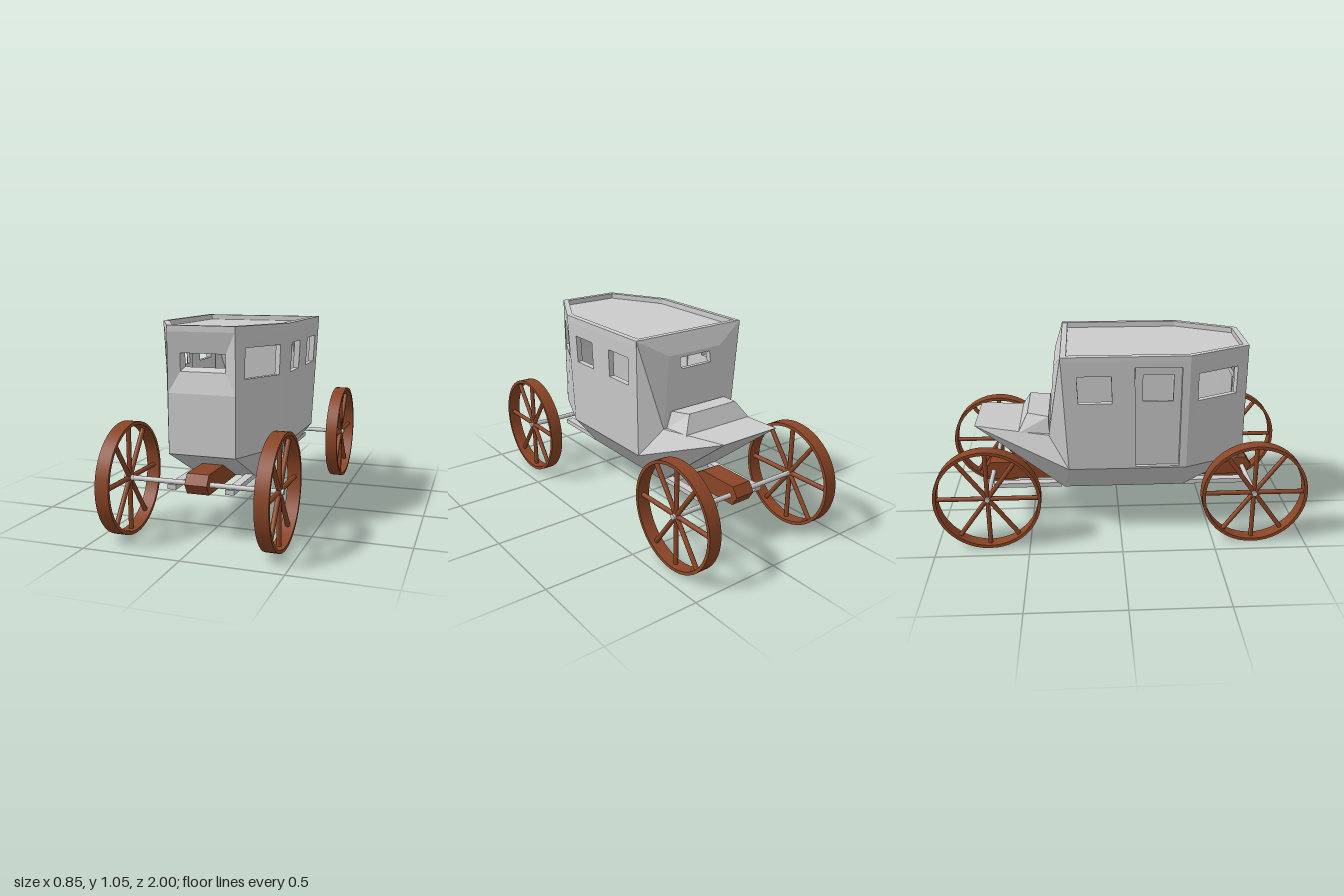
import * as THREE from 'three';

const grey = new THREE.MeshStandardMaterial({ color: 0xcccccc, flatShading: true, side: THREE.DoubleSide });
const metal = new THREE.MeshStandardMaterial({ color: 0xcccccc });
const wood = new THREE.MeshStandardMaterial({ color: 0x8a4526 });

const V = (x, y, z) => new THREE.Vector3(x, y, z);

function add(parent, name, geometry, material) {
  const mesh = new THREE.Mesh(geometry, material);
  mesh.name = name;
  parent.add(mesh);
  return mesh;
}

// Flat faces, each a short loop of corners
function faces(polys) {
  const pos = [];
  for (const p of polys)
    for (let i = 1; i < p.length - 1; i++)
      for (const v of [p[0], p[i], p[i + 1]]) pos.push(v.x, v.y, v.z);
  const g = new THREE.BufferGeometry();
  g.setAttribute('position', new THREE.Float32BufferAttribute(pos, 3));
  g.computeVertexNormals();
  return g;
}

// Thick wall between four corners (bottom a-b, top d-c), with holes [u0, u1, v0, v1]
function panel(a, b, c, d, holes, thick = 0.03) {
  const shape = new THREE.Shape([[0, 0], [1, 0], [1, 1], [0, 1]].map(p => new THREE.Vector2(...p)));
  for (const [u0, u1, v0, v1] of holes)
    shape.holes.push(new THREE.Path([[u0, v0], [u0, v1], [u1, v1], [u1, v0]].map(p => new THREE.Vector2(...p))));
  const g = new THREE.ExtrudeGeometry(shape, { depth: 1, bevelEnabled: false });
  const n = b.clone().sub(a).cross(d.clone().sub(a)).normalize();
  const centre = a.clone().add(b).add(c).add(d).multiplyScalar(0.25);
  if (n.dot(V(0, 0.73, 0.1).sub(centre)) < 0) n.negate();
  const p = g.attributes.position;
  for (let i = 0; i < p.count; i++) {
    const u = p.getX(i), v = p.getY(i);
    const q = a.clone().lerp(b, u).lerp(d.clone().lerp(c, u), v).addScaledVector(n, thick * p.getZ(i));
    p.setXYZ(i, q.x, q.y, q.z);
  }
  g.computeVertexNormals();
  return g;
}

// Horizontal slab cut from the plan outline of the cabin
const plan = (inset) => [[-0.345 + inset, -0.31 + inset], [0.345 - inset, -0.31 + inset], [0.345 - inset, 0.35 - inset * 0.3],
  [0.175 - inset * 0.6, 0.68 - inset], [-0.175 + inset * 0.6, 0.68 - inset], [-0.345 + inset, 0.35 - inset * 0.3]]
  .map(([x, z]) => new THREE.Vector2(x, -z));
function slab(inset, y, h, holeInset) {
  const s = new THREE.Shape(plan(inset));
  if (holeInset) s.holes.push(new THREE.Path(plan(holeInset)));
  return new THREE.ExtrudeGeometry(s, { depth: h, bevelEnabled: false }).rotateX(-Math.PI / 2).translate(0, y, 0);
}

function buildCabin() {
  const cabin = new THREE.Group();
  cabin.name = 'cabin';
  const Y0 = 0.415, Y1 = 1.05, v = y => (y - Y0) / (Y1 - Y0);
  const win = [v(0.795), v(0.945)];

  for (const s of [1, -1]) {
    const F = V(s * 0.175, Y0, 0.68), FT = V(s * 0.175, Y1, 0.68);
    const M = V(s * 0.315, Y0, 0.35), MT = V(s * 0.345, Y1, 0.35);
    const B = V(s * 0.315, Y0, -0.28), BT = V(s * 0.345, Y1, -0.31);
    const u = z => (0.35 - z) / 0.65;
    const rear = [u(-0.05), u(-0.225), ...win];
    const middle = s > 0 ? [u(0.27), u(0.11), ...win] : [u(0.31), u(0.07), 0.015, v(0.99)];
    add(cabin, 'sideWall', panel(M, B, BT, MT, [middle, rear]), grey);
    add(cabin, 'slantedFrontWall', panel(F, M, MT, FT, [[0.18, 0.85, ...win]]), grey);
    // Wing joining the side wall to the rear panel
    const K = V(s * 0.17, 0.95, -0.35), D = V(s * 0.23, 0.58, -0.385);
    add(cabin, 'rearWing', faces([[BT, K, D], [BT, D, B]]), grey);
  }

  // Recessed door on the right side
  const dx = y => -0.315 - 0.03 * v(y) + 0.02;
  add(cabin, 'door', panel(V(dx(0.42), 0.42, 0.31), V(dx(0.42), 0.42, 0.07), V(dx(0.99), 0.99, 0.07), V(dx(0.99), 0.99, 0.31),
    [[0.17, 0.83, 0.66, 0.92]], 0.015), grey);

  // Front wall: flat below, sinking gently to the window above
  const W = 0.175, w = 0.1175, z0 = 0.68, z1 = 0.655, z2 = 0.62;
  const rect = (hw, y0, y1, z) => [V(-hw, y0, z), V(hw, y0, z), V(hw, y1, z), V(-hw, y1, z)];
  const rings = [rect(W, 0.72, 1.025, z0), rect(w, 0.825, 0.915, z1), rect(w - 0.012, 0.845, 0.912, z2)];
  const frontFaces = [rect(W, Y0, 0.72, z0), rect(W, 1.025, Y1, z0)];
  for (let r = 0; r < 2; r++)
    for (let i = 0; i < 4; i++) {
      const j = (i + 1) % 4;
      frontFaces.push([rings[r][i], rings[r][j], rings[r + 1][j], rings[r + 1][i]]);
    }
  add(cabin, 'frontWall', faces(frontFaces), grey);

  // Rear wall: sloped band under the roof and a panel with a window
  add(cabin, 'rearUpperBand', faces([[V(-0.345, Y1, -0.31), V(0.345, Y1, -0.31), V(0.17, 0.95, -0.35), V(-0.17, 0.95, -0.35)]]), grey);
  add(cabin, 'rearWall', panel(V(-0.23, 0.58, -0.385), V(0.23, 0.58, -0.385), V(0.17, 0.95, -0.35), V(-0.17, 0.95, -0.35),
    [[0.22, 0.78, 0.79, 0.95]]), grey);

  add(cabin, 'roof', slab(0.012, 1.0, 0.022), grey);
  add(cabin, 'roofRim', slab(0, 1.02, 0.03, 0.03), grey);
  return cabin;
}

// Boat-shaped lower body with the rear driving deck
function buildHull() {
  const polys = [];
  const P = s => ({ F: V(s * 0.175, 0.415, 0.68), M: V(s * 0.315, 0.415, 0.35), B: V(s * 0.315, 0.415, -0.28),
    f: V(s * 0.175, 0.24, 0.35), b: V(s * 0.175, 0.24, -0.31), T: V(s * 0.175, 0.62, -0.785), D: V(s * 0.23, 0.58, -0.385) });
  const l = P(1), r = P(-1);
  for (const p of [l, r]) {
    const side = [[p.F, p.f, p.M], [p.M, p.f, p.b, p.B], [p.B, p.b, p.T], [p.B, p.T, p.D]];
    polys.push(...(p === l ? side : side.map(q => q.reverse())));
  }
  polys.push([r.F, r.f, l.f, l.F], [r.f, r.b, l.b, l.f], [r.b, r.T, l.T, l.b], [r.D, l.D, l.T, r.T]);
  polys.push([r.F, l.F, l.M, l.B, r.B, r.M]);
  return faces(polys);
}

// Driver's seat: tapered block on the deck
function buildSeat() {
  const lo = [V(-0.21, 0.575, -0.385), V(0.21, 0.575, -0.385), V(0.215, 0.59, -0.55), V(-0.215, 0.59, -0.55)];
  const hi = [V(-0.18, 0.668, -0.385), V(0.18, 0.668, -0.385), V(0.155, 0.682, -0.5), V(-0.155, 0.682, -0.5)];
  return faces([hi, ...lo.map((p, i) => [p, hi[i], hi[(i + 1) % 4], lo[(i + 1) % 4]])]);
}

function buildWheel() {
  const wheel = new THREE.Group();
  wheel.name = 'wheel';
  const R = 0.285, r = 0.268, h = 0.035;
  // Hoop with doubled corners so its edges stay sharp
  const loop = [[r, -h], [R, -h], [R, h], [r, h]];
  for (let i = 0; i < 4; i++) {
    const pts = [loop[i], loop[(i + 1) % 4]].map(p => new THREE.Vector2(...p));
    add(wheel, 'rim', new THREE.LatheGeometry(pts, 48).rotateZ(Math.PI / 2), wood);
  }
  for (const deg of [0, 54, 90, 126, 180, 234, 270, 306]) {
    const spoke = add(wheel, 'spoke', new THREE.CylinderGeometry(0.0125, 0.0125, 0.275, 10).translate(0, 0.1375, 0), wood);
    spoke.rotation.x = THREE.MathUtils.degToRad(deg - 90);
  }
  add(wheel, 'hub', new THREE.CylinderGeometry(0.014, 0.014, 0.05, 16).rotateZ(Math.PI / 2), metal);
  return wheel;
}

// Axle, beam and mounting rails for one end (dir +1 front, -1 rear)
function buildUndercarriage(dir) {
  const g = new THREE.Group();
  g.name = dir > 0 ? 'frontUndercarriage' : 'rearUndercarriage';
  for (const s of [1, -1]) {
    const wheel = buildWheel();
    wheel.position.set(s * 0.391, 0.285, dir * 0.715);
    g.add(wheel);
    const rail = add(g, 'mountingRail', new THREE.BoxGeometry(0.045, 0.025, 0.38), grey);
    rail.position.set(-0.0135 + s * 0.152, 0.2525, dir * 0.515);
  }
  const axle = add(g, 'axle', new THREE.CylinderGeometry(0.013, 0.013, 0.78, 16).rotateZ(Math.PI / 2), metal);
  axle.position.set(0, 0.285, dir * 0.715);
  // Beam with a pointed end, its slope following the hull
  const side = new THREE.Shape([[0.34, 0.238], [0.735, 0.238], [0.768, 0.29], [0.735, 0.34], [0.5, 0.34]]
    .map(([z, y]) => new THREE.Vector2(dir * z, y)));
  const beam = add(g, 'beam', new THREE.ExtrudeGeometry(side, { depth: 0.115, bevelEnabled: false })
    .translate(0, 0, -0.0575).rotateY(-Math.PI / 2), wood);
  beam.position.x = -0.0125;
  return g;
}

export function createModel() {
  const model = new THREE.Group();
  model.name = 'carriage';
  const body = new THREE.Group();
  body.name = 'body';
  body.position.x = -0.0135;
  body.add(buildCabin());
  add(body, 'hull', buildHull(), grey);
  add(body, 'driverSeat', buildSeat(), grey);
  model.add(body, buildUndercarriage(1), buildUndercarriage(-1));
  return model;
}
